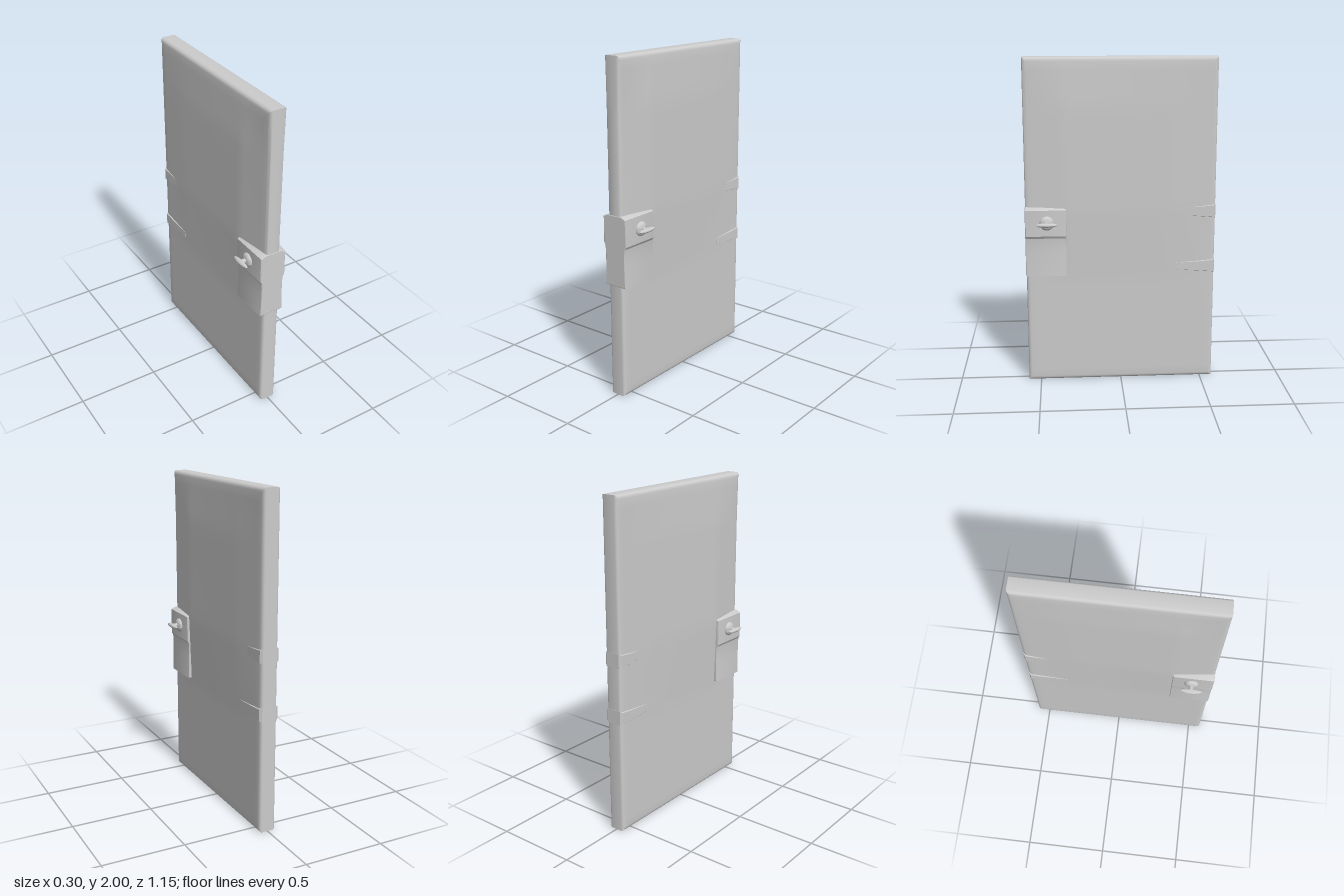
import * as THREE from 'three';
import { mergeVertices, toCreasedNormals } from 'three/addons/utils/BufferGeometryUtils.js';
import { ConvexGeometry } from 'three/addons/geometries/ConvexGeometry.js';

const grey = new THREE.MeshStandardMaterial({ color: 0xcccccc });
const DEPTH = 0.576, HEIGHT = 2, EDGE = 0.024, ROUND = 4;

function part(name, geometry, parent) {
  const mesh = new THREE.Mesh(geometry, grey);
  mesh.name = name;
  parent.add(mesh);
  return mesh;
}

// Straight-line interpolation through [position, value] pairs
function ramp(pairs, t) {
  for (let i = 1; i < pairs.length; i++) {
    const [a, va] = pairs[i - 1], [b, vb] = pairs[i];
    if (t <= b) return va + (vb - va) * Math.max(0, (t - a) / (b - a));
  }
  return pairs[pairs.length - 1][1];
}

// Grid stops from lo to hi, bunched at both ends for the rounded edge
function stops(lo, hi, inner) {
  const out = [];
  for (let i = 0; i < ROUND; i++) out.push(lo + EDGE * (1 - Math.cos((i / ROUND) * Math.PI / 2)));
  for (let i = 0; i <= inner; i++) out.push(lo + EDGE + (hi - lo - 2 * EDGE) * (i / inner));
  for (let i = ROUND - 1; i >= 0; i--) out.push(hi - EDGE * (1 - Math.cos((i / ROUND) * Math.PI / 2)));
  return out;
}

// Half thickness of the panel: swells gently around the lock
function halfThickness(y, z) {
  const up = ramp([[0.65, 0], [1.1, 1], [1.72, 0.85], [2, 0]], y);
  const along = ramp([[-0.576, 0], [-0.3, 0.6], [0.33, 1], [0.576, -0.5]], z);
  const face = 0.053 + 0.016 * up * along;
  const d = Math.min(y, HEIGHT - y, DEPTH - Math.abs(z));
  const k = Math.min(1, Math.max(0, d / EDGE));
  const rim = 0.036;
  return rim + (face - rim) * Math.sqrt(1 - (1 - k) * (1 - k));
}

function panelGeometry() {
  const ys = stops(0, HEIGHT, 40), zs = stops(-DEPTH, DEPTH, 30);
  const ny = ys.length - 1, nz = zs.length - 1;
  let geo = new THREE.BoxGeometry(2, ny, nz, 2, ny, nz);
  const p = geo.attributes.position;
  for (let i = 0; i < p.count; i++) {
    const y = ys[Math.round(p.getY(i) + ny / 2)];
    const z = zs[Math.round(p.getZ(i) + nz / 2)];
    p.setXYZ(i, p.getX(i) * halfThickness(y, z), y, z);
  }
  geo.deleteAttribute('normal');
  geo.deleteAttribute('uv');
  geo = mergeVertices(geo);
  return toCreasedNormals(geo, 0.6);
}

// Lock case profile wrapped round the front edge, with a scooped lower half
function lockGeometry() {
  const side = [[0.071, 0.692], [0.069, 0.76], [0.067, 0.83], [0.067, 0.89], [0.070, 0.925],
    [0.079, 0.94], [0.078, 1.095], [0.05, 1.108]];
  const all = [...side, ...side.slice().reverse().map(([x, y]) => [-x, y])];
  const shape = new THREE.Shape(all.map(([x, y]) => new THREE.Vector2(x, y)));
  const geo = new THREE.ExtrudeGeometry(shape, {
    depth: 0.232, bevelEnabled: true, bevelThickness: 0.008, bevelSize: 0.005, bevelSegments: 2,
  });
  geo.translate(0, 0, 0.338);
  return toCreasedNormals(geo, 0.45);
}

// Turned piece whose axis points along +x
function turned(profile, segments) {
  const geo = new THREE.LatheGeometry(profile.map(([r, x]) => new THREE.Vector2(r, x)), segments);
  geo.rotateZ(-Math.PI / 2);
  return toCreasedNormals(geo, 0.6);
}

function makeHandle(name) {
  const handle = new THREE.Group();
  handle.name = name;
  part('rosette', turned([[0.043, 0.075], [0.043, 0.088], [0.038, 0.096], [0.026, 0.103], [0, 0.105]], 24), handle);
  part('stem', turned([[0.014, 0.1], [0.014, 0.13]], 16), handle);
  const grip = turned([[0, 0.124], [0.056, 0.124], [0.064, 0.127], [0.066, 0.132], [0.063, 0.138],
    [0.045, 0.145], [0.022, 0.149], [0, 0.15]], 28);
  grip.scale(1, 0.2, 1);
  grip.computeVertexNormals();
  part('grip', toCreasedNormals(grip, 0.6), handle);
  handle.position.set(0, 1.02, 0.447);
  return handle;
}

// Hinge knuckle: fills the rounded rear edge and tapers into the panel faces
function hingeGeometry() {
  const pts = [];
  for (const x of [-1, 1]) for (const y of [-1, 1]) {
    pts.push(new THREE.Vector3(x * 0.046, y * 0.043, -0.577));
    pts.push(new THREE.Vector3(x * 0.060, y * 0.036, -0.565));
    pts.push(new THREE.Vector3(x * 0.060, y * 0.03, -0.5));
    pts.push(new THREE.Vector3(x * 0.056, y * 0.02, -0.33));
  }
  return toCreasedNormals(new ConvexGeometry(pts), 0.5);
}

export function createModel() {
  const door = new THREE.Group();
  door.name = 'door';

  part('panel', panelGeometry(), door);
  part('lockCase', lockGeometry(), door);

  const left = makeHandle('leftHandle');
  const right = makeHandle('rightHandle');
  right.rotation.y = Math.PI;
  door.add(left, right);

  for (const [name, y] of [['upperHinge', 1.075], ['lowerHinge', 0.73]]) {
    part(name, hingeGeometry(), door).position.y = y;
  }
  return door;
}
